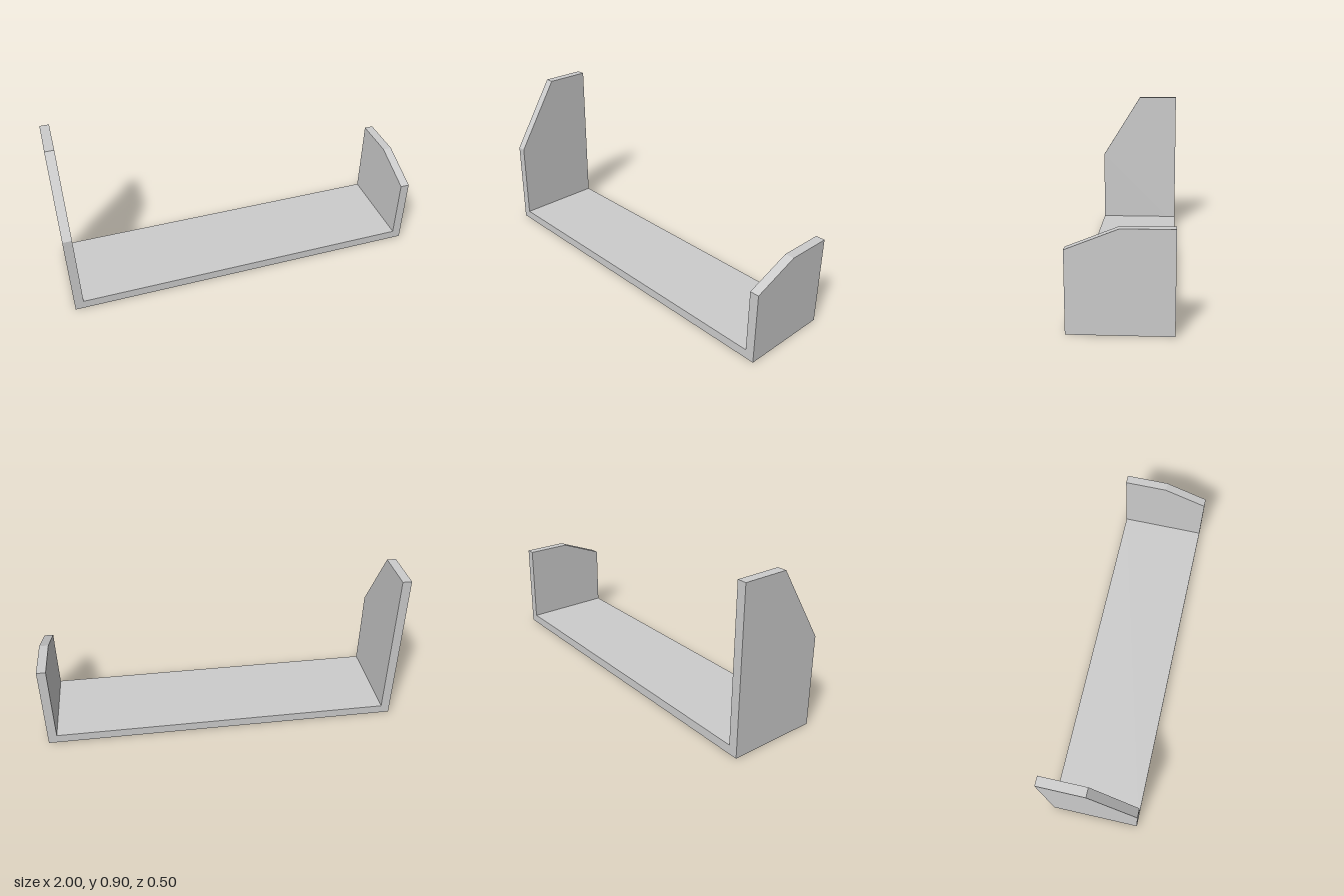
import * as THREE from 'three';

const T = 0.05;      // board thickness
const HALF_Z = 0.25; // half depth

export function createModel() {
  const group = new THREE.Group();
  group.name = 'bookShelf';
  const material = new THREE.MeshStandardMaterial({ color: 0xcccccc, flatShading: true });

  // Upright board with a chamfered front top corner; xMax is its +x face
  function endPanel(name, xMax, frontHeight, backHeight) {
    const profile = new THREE.Shape([
      new THREE.Vector2(-HALF_Z, 0),
      new THREE.Vector2(HALF_Z, 0),
      new THREE.Vector2(HALF_Z, frontHeight),
      new THREE.Vector2(0, backHeight),
      new THREE.Vector2(-HALF_Z, backHeight),
    ]);
    const geometry = new THREE.ExtrudeGeometry(profile, { depth: T, bevelEnabled: false });
    geometry.rotateY(-Math.PI / 2); // profile x becomes z, depth runs towards -x
    geometry.translate(xMax, 0, 0);
    const mesh = new THREE.Mesh(geometry, material);
    mesh.name = name;
    group.add(mesh);
  }

  endPanel('tallRightPanel', -1 + T, 0.5, 0.9);
  endPanel('shortLeftPanel', 1, 0.4, 0.5);

  // Base board between the two end panels
  const base = new THREE.Mesh(new THREE.BoxGeometry(2 - 2 * T, T, 2 * HALF_Z), material);
  base.name = 'baseBoard';
  base.position.y = T / 2;
  group.add(base);

  return group;
}
